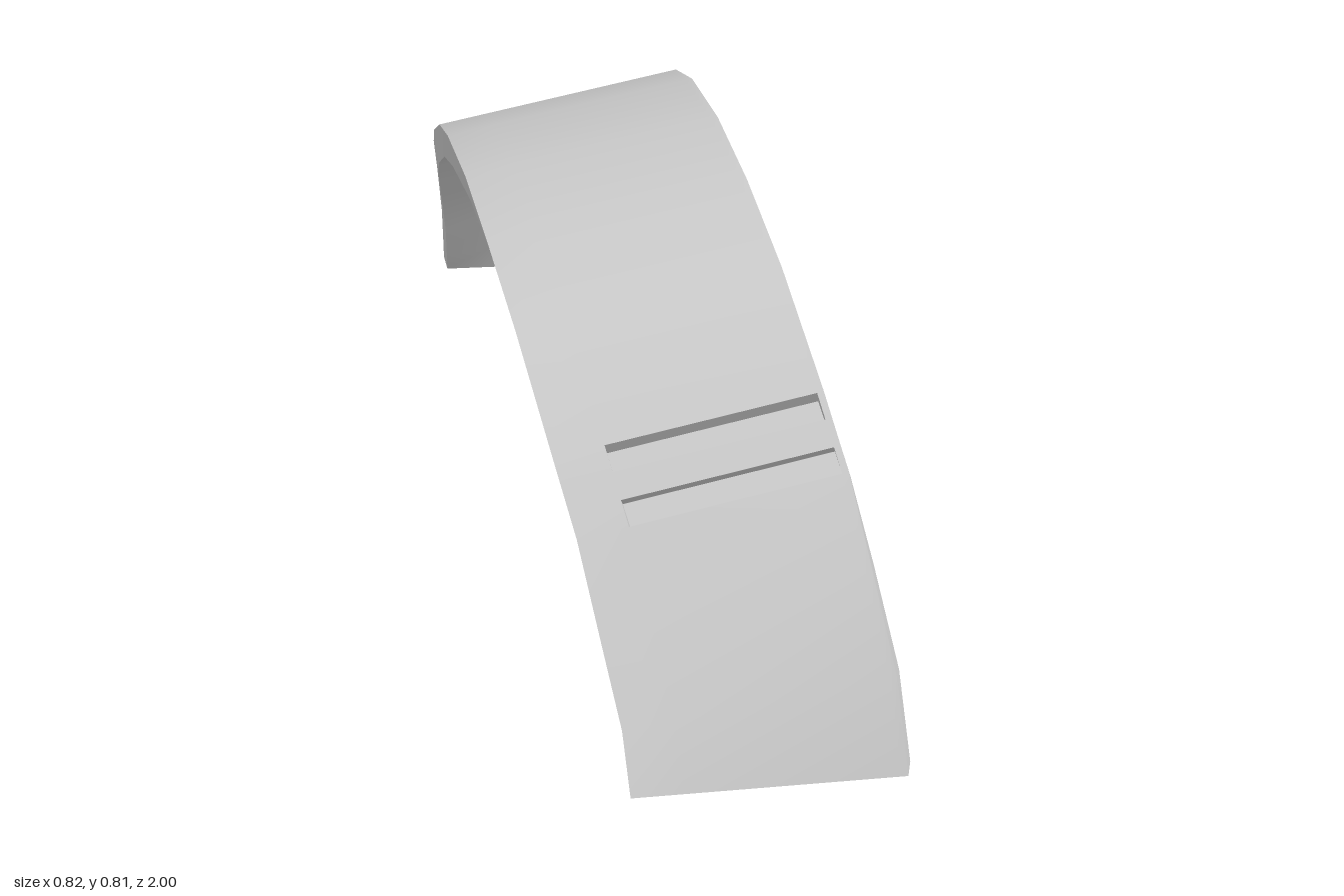
import * as THREE from 'three';
import { toCreasedNormals } from 'three/addons/utils/BufferGeometryUtils.js';

// Arch sections along the right-hand (+x) edge, front to back:
// x, outer z, outer y, inner z, inner y
const ARCH = [
  [0.405, 0.91, 0.0, 0.87, 0.0],
  [0.385, 0.86, 0.17, 0.82, 0.16],
  [0.345, 0.78, 0.34, 0.735, 0.32],
  [0.31, 0.69, 0.48, 0.65, 0.445],
  [0.272, 0.6, 0.59, 0.565, 0.535],
  [0.215, 0.4, 0.72, 0.35, 0.665],
  [0.168, 0.2, 0.79, 0.16, 0.735],
  [0.13, -0.01, 0.81, -0.02, 0.755],
  [0.095, -0.22, 0.79, -0.21, 0.73],
  [0.075, -0.41, 0.72, -0.39, 0.66],
  [0.058, -0.63, 0.6, -0.6, 0.54],
  [0.054, -0.7, 0.54, -0.66, 0.485],
  [0.056, -0.81, 0.42, -0.76, 0.38],
  [0.06, -0.89, 0.28, -0.84, 0.26],
  [0.066, -0.955, 0.13, -0.905, 0.12],
  [0.073, -1.0, 0.0, -0.945, 0.0],
];
const LAST = ARCH.length - 1;

// Grooves as ranges of section index; all span the same part of the width
const GROOVES = [[3.0, 3.32], [3.66, 3.98], [10.3, 10.57], [10.84, 11.08]];
const GROOVE_DEPTH = 0.5;
const COLUMNS = [0, 0.19, 0.975, 1];

// Offset from the right edge to the left edge; the ends are trimmed level
function sideShift(i) {
  const end = Math.min(i, LAST - i);
  if (end === 0) return [-0.48, 0.037, 0.085];
  if (end === 1) return [-0.472, -0.03, 0.084];
  return [-0.465, -0.07, 0.08];
}

// Point of one section: u runs left to right, k from outer (0) to inner (1)
function sectionPoint(i, u, k) {
  const [x, oz, oy, iz, iy] = ARCH[i];
  const s = sideShift(i);
  return new THREE.Vector3(
    x + 0.008 * k + s[0] * (1 - u),
    oy + (iy - oy) * k + s[1] * (1 - u),
    oz + (iz - oz) * k + s[2] * (1 - u)
  );
}

function point(t, u, k) {
  const i = Math.min(Math.floor(t), LAST - 1);
  return sectionPoint(i, u, k).lerp(sectionPoint(i + 1, u, k), t - i);
}

function archGeometry() {
  const rows = [...new Set([...ARCH.keys(), ...GROOVES.flat()])].sort((a, b) => a - b);
  const positions = [];
  const quad = (a, b, c, d) => {
    for (const p of [a, b, c, a, c, d]) positions.push(p.x, p.y, p.z);
  };

  // Depth of a grid cell: 0 on the skin, deeper in a groove, 1 outside the band
  const depth = (r, c) => {
    if (r < 0 || c < 0 || r >= rows.length - 1 || c >= COLUMNS.length - 1) return 1;
    const mid = (rows[r] + rows[r + 1]) / 2;
    const cut = c === 1 && GROOVES.some(([from, to]) => mid > from && mid < to);
    return cut ? GROOVE_DEPTH : 0;
  };

  for (let r = 0; r < rows.length - 1; r++) {
    for (let c = 0; c < COLUMNS.length - 1; c++) {
      const [t0, t1, u0, u1] = [rows[r], rows[r + 1], COLUMNS[c], COLUMNS[c + 1]];
      const corners = [[t0, u0], [t0, u1], [t1, u1], [t1, u0]];
      const k = depth(r, c);

      // Outer skin or groove floor, then the inner skin
      quad(...corners.map(([t, u]) => point(t, u, k)));
      quad(...corners.map(([t, u]) => point(t, u, 1)).reverse());

      // Walls down to any deeper neighbour: groove sides, band sides and ends
      const neighbours = [[r - 1, c], [r, c + 1], [r + 1, c], [r, c - 1]];
      neighbours.forEach(([nr, nc], e) => {
        const kn = depth(nr, nc);
        if (kn <= k) return;
        const a = corners[e];
        const b = corners[(e + 1) % 4];
        quad(point(...a, kn), point(...b, kn), point(...b, k), point(...a, k));
      });
    }
  }

  const geometry = new THREE.BufferGeometry();
  geometry.setAttribute('position', new THREE.Float32BufferAttribute(positions, 3));
  return toCreasedNormals(geometry, 0.6);
}

export function createModel() {
  const group = new THREE.Group();
  group.name = 'wheelArch';
  const arch = new THREE.Mesh(
    archGeometry(),
    new THREE.MeshStandardMaterial({ color: 0xcccccc })
  );
  arch.name = 'groovedArchPanel';
  group.add(arch);
  return group;
}
